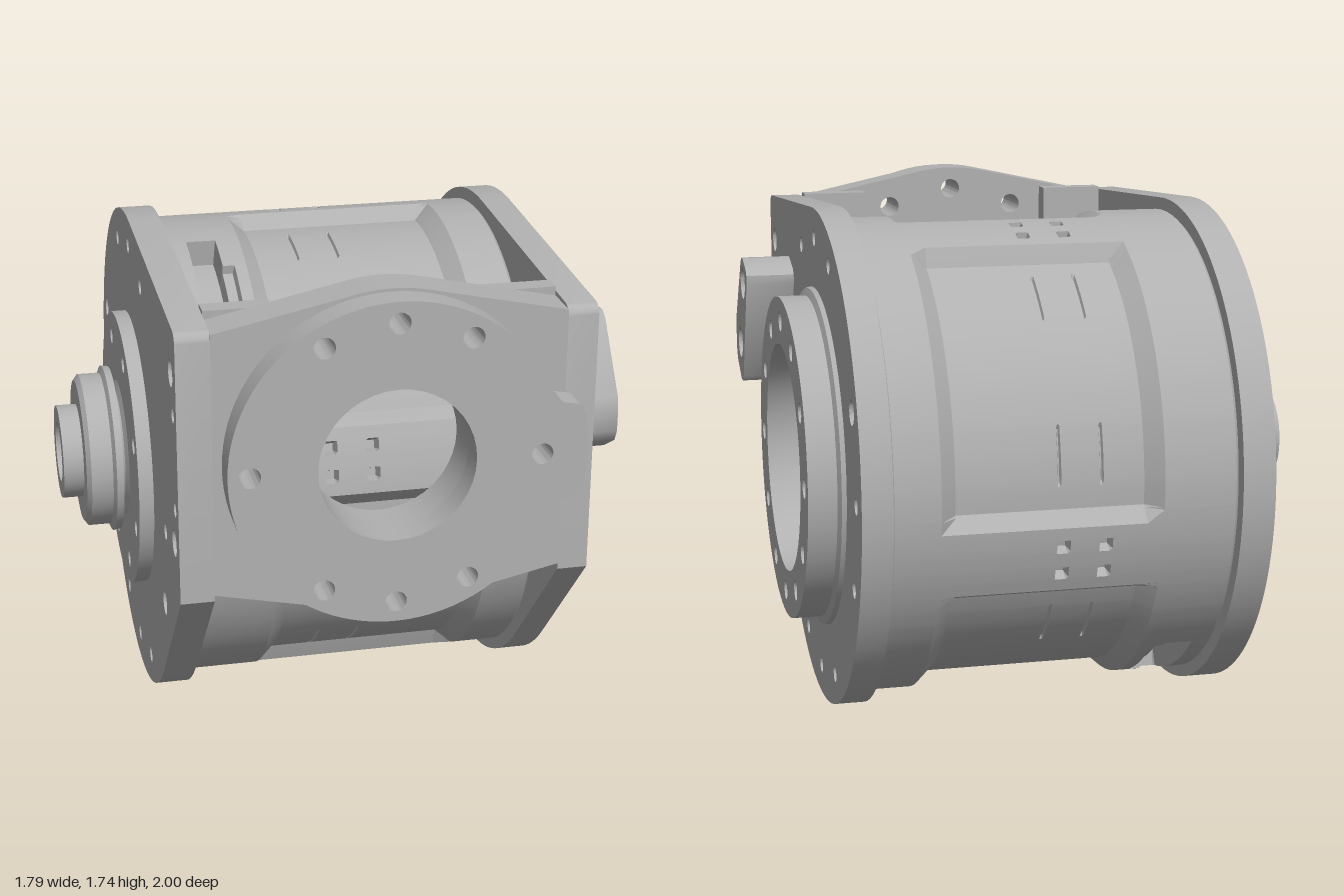
import * as THREE from 'three';
import { toCreasedNormals } from 'three/addons/utils/BufferGeometryUtils.js';

const AY = 0.85, AZ = -0.15; // main axis, parallel to x
const FX = 0.05, FY = 1.19; // centre of the front flange
const rad = THREE.MathUtils.degToRad;

// points on an arc, degrees, counter-clockwise
function arc(cx, cy, r, a0, a1, n) {
  return Array.from({ length: n + 1 }, (_, i) => {
    const a = rad(a0 + ((a1 - a0) * i) / n);
    return [cx + r * Math.cos(a), cy + r * Math.sin(a)];
  });
}

// holes at the given angles round a centre: [x, y, radius]
function boltCircle(cx, cy, r, angles, hole) {
  return angles.map((a) => [cx + r * Math.cos(rad(a)), cy + r * Math.sin(rad(a)), hole]);
}
const evenAngles = (count, start = 0) => Array.from({ length: count }, (_, i) => start + (360 * i) / count);

// outline must run counter-clockwise
function slab(points, holes, depth) {
  const shape = new THREE.Shape(points.map(([x, y]) => new THREE.Vector2(x, y)));
  for (const [x, y, r] of holes) shape.holes.push(new THREE.Path().absarc(x, y, r, 0, Math.PI * 2, true));
  const geo = new THREE.ExtrudeGeometry(shape, { depth, bevelEnabled: false, curveSegments: 20 });
  return toCreasedNormals(geo, 0.6);
}

// slab drawn in [z, y] and extruded along x from x0 to x1
function sideSlab(points, holes, x0, x1) {
  const flip = ([z, y, r]) => [-z, y, r];
  const geo = slab(points.map(flip).reverse(), holes.map(flip), x1 - x0);
  return geo.rotateY(Math.PI / 2).translate(x0, 0, 0);
}

// [radius, x] profile turned round the main axis
function turned(profile) {
  const pts = profile.map(([r, x]) => new THREE.Vector2(r, x));
  const geo = new THREE.LatheGeometry(pts, 64).rotateZ(-Math.PI / 2).translate(0, AY, AZ);
  return toCreasedNormals(geo, 0.5);
}

// drum surface sunk by recesses: [x0, x1, angle0, angle1, depth, xSlope, angleSlope]
function drumGeometry(x0, x1, radius, recesses) {
  const unique = (list) => [...new Set(list.map((v) => +v.toFixed(4)))].sort((a, b) => a - b);
  const xs = [x0, x0 + 0.01, x1 - 0.01, x1], as = [];
  for (let a = 0; a <= 360; a += 4) as.push(a);
  for (const [p, q, a, b, , sx, sa] of recesses) {
    xs.push(p, p + sx, q - sx, q);
    as.push(...[a, a + sa, b - sa, b].map((v) => (v + 720) % 360));
  }
  const X = unique(xs), A = unique(as);
  const ramp = (v, lo, hi, s) => THREE.MathUtils.clamp(Math.min(v - lo, hi - v) / s, 0, 1);
  const pos = [], idx = [];
  for (const x of X) for (const a of A) {
    let r = x === X[0] || x === X[X.length - 1] ? radius - 0.01 : radius;
    for (const [p, q, lo, hi, d, sx, sa] of recesses) {
      const turn = (((a - lo) % 360) + 360) % 360;
      r -= d * ramp(x, p, q, sx) * ramp(turn, 0, hi - lo, sa);
    }
    pos.push(x, AY + r * Math.sin(rad(a)), AZ + r * Math.cos(rad(a)));
  }
  const n = A.length;
  for (let i = 0; i < X.length - 1; i++) for (let j = 0; j < n - 1; j++) {
    const k = i * n + j;
    idx.push(k, k + n, k + n + 1, k, k + n + 1, k + 1);
  }
  const geo = new THREE.BufferGeometry();
  geo.setAttribute('position', new THREE.Float32BufferAttribute(pos, 3));
  geo.setIndex(idx);
  return toCreasedNormals(geo, 0.4);
}

export function createModel() {
  const group = new THREE.Group();
  const metal = new THREE.MeshStandardMaterial({ color: 0xb0b0b0 });
  metal.name = 'grey metal';
  const add = (name, geo) => {
    const mesh = new THREE.Mesh(geo, metal);
    mesh.name = name;
    group.add(mesh);
  };
  // hexagonal screw facing along x
  const screw = (x, y, z, r, len) =>
    add('screw', toCreasedNormals(new THREE.CylinderGeometry(r, r, len, 6).rotateZ(Math.PI / 2).translate(x, y, z), 0.5));

  // drum: four sunken panels with slots, bands with screw dents, two deep windows
  const recesses = [];
  for (let k = 0; k < 4; k++) {
    const band = 15 + 90 * k;
    recesses.push([-0.27, 0.46, band + 8, band + 82, 0.05, 0.055, 3.5]);
    for (const x of [-0.08, 0.06]) {
      for (const da of [-3.4, 3.4]) recesses.push([x - 0.022, x + 0.022, band + da - 1.6, band + da + 1.6, 0.04, 0.008, 0.6]);
      for (const a of [16, 58]) recesses.push([x, x + 0.012, band + a, band + a + 15, 0.012, 0.004, 1]);
    }
  }
  for (const a of [46, 226]) {
    recesses.push([-0.45, -0.35, a, a + 33, 0.09, 0.006, 0.5]);
    recesses.push([-0.356, -0.31, a + 1, a + 22, 0.03, 0.006, 0.5]);
  }
  add('drum', drumGeometry(-0.52, 0.62, 0.81, recesses));
  add('drumLeftEnd', turned([[0.8, 0.62], [0.105, 0.62]]));
  add('drumRightEnd', turned([[0.105, -0.52], [0.8, -0.52]]));

  // side plates: round at the back, drawn out to the front
  const outline = [[0.9, 0.73], ...arc(0.86, 1.6, 0.04, 0, 86.5, 8), ...arc(AZ, AY, 0.85, 86.5, 317, 72)];
  const plateHoles = [
    ...boltCircle(AZ, AY, 0.75, [0, 67.5, 90, 112.5, 180, 202.5, 247.5, 270, 292.5], 0.028),
    ...boltCircle(AZ, AY, 0.75, [157.5, 337.5], 0.042),
    [0.8, 1.48, 0.045], [0.83, 1.35, 0.025], [0.83, 1.03, 0.025], [0.8, 0.9, 0.045],
  ];
  add('leftPlate', sideSlab(outline, [...plateHoles, [AZ, AY, 0.39]], 0.62, 0.72));
  add('rightPlate', sideSlab(outline, [...plateHoles, [AZ, AY, 0.105]], -0.63, -0.52));
  for (const y of [1.48, 0.9]) for (const x of [0.685, -0.595]) screw(x, y, 0.8, 0.028, 0.03);

  // bearing flange with a deep open middle
  const flangeHoles = boltCircle(AZ, AY, 0.47, evenAngles(12), 0.034);
  add('bearingFlange', sideSlab(arc(AZ, AY, 0.55, 0, 356, 89), [[AZ, AY, 0.39], ...flangeHoles], 0.72, 0.84));
  add('flangeLip', turned([[0.58, 0.72], [0.575, 0.735], [0.55, 0.745]]));
  for (const [z, y] of flangeHoles) screw(0.77, y, z, 0.02, 0.06);
  const hubScrews = [[0.01, 0.89, 0.038], [-0.31, 0.81, 0.038]];
  add('innerHub', sideSlab(arc(AZ, AY, 0.21, 0, 354, 59), [[AZ, AY, 0.105], ...hubScrews], 0.62, 0.65));
  for (const [z, y] of hubScrews) screw(0.63, y, z, 0.022, 0.02);

  // thick stop block with two sunk screws
  const blockHoles = [[0.44, 1.37, 0.058], [0.54, 1.14, 0.058]];
  const block = [[0.48, 1.02], [0.5, 1.0], [0.54, 1.0], [0.64, 1.06], [0.66, 1.1], [0.66, 1.18], [0.65, 1.22],
    [0.49, 1.44], [0.46, 1.46], [0.43, 1.46], [0.35, 1.43], [0.33, 1.41], [0.33, 1.38]];
  add('stopBlock', sideSlab(block, blockHoles, 0.72, 0.89));
  for (const [z, y] of blockHoles) screw(0.8, y, z, 0.035, 0.12);

  // shaft end: bolted disc, collar and hollow shaft
  const discHoles = boltCircle(AZ, AY, 0.4, evenAngles(8, 22.5), 0.03);
  add('shaftDisc', sideSlab(arc(AZ, AY, 0.485, 0, 356, 89), [[AZ, AY, 0.105], ...discHoles], -0.68, -0.63));
  add('shaftCollar', turned([
    [0.105, -0.9], [0.165, -0.9], [0.165, -0.83], [0.25, -0.83], [0.27, -0.815], [0.27, -0.74],
    [0.295, -0.73], [0.29, -0.705], [0.2, -0.705], [0.21, -0.69], [0.24, -0.68],
  ]));
  add('shaftBore', turned([[0.105, 0.65], [0.105, -0.9]]));

  // front cross plate, swelling round the opening
  const frontHoles = boltCircle(FX, FY, 0.47, [0, 60, 90, 120, 180, 240, 270, 300], 0.035);
  frontHoles.push([FX, FY, 0.255]);
  const cross = [
    [FX + 0.57, FY - 0.44], [FX + 0.57, FY + 0.44], ...arc(FX, FY, 0.55, 79, 101, 8),
    [FX - 0.57, FY + 0.44], [FX - 0.57, FY - 0.44], ...arc(FX, FY, 0.55, 259, 281, 8),
  ];
  add('crossPlate', slab(cross, frontHoles, 0.14).translate(0, 0, 0.76));
  for (const [x, w] of [[-0.41, 0.22], [0.505, 0.23]])
    add('cornerBlock', new THREE.BoxGeometry(w, 0.9, 0.07).translate(x, 1.21, 0.725));

  // front flange with an ear on one side
  const ear = [[0.53, -0.17], [0.585, -0.16], [0.61, -0.13], [0.62, 0], [0.61, 0.13], [0.585, 0.16], [0.53, 0.17]];
  const rim = [...arc(FX, FY, 0.54, 22, 338, 80), ...ear.map(([x, y]) => [FX + x, FY + y])];
  add('frontFlange', slab(rim, frontHoles, 0.1).translate(0, 0, 0.9));

  return group;
}
